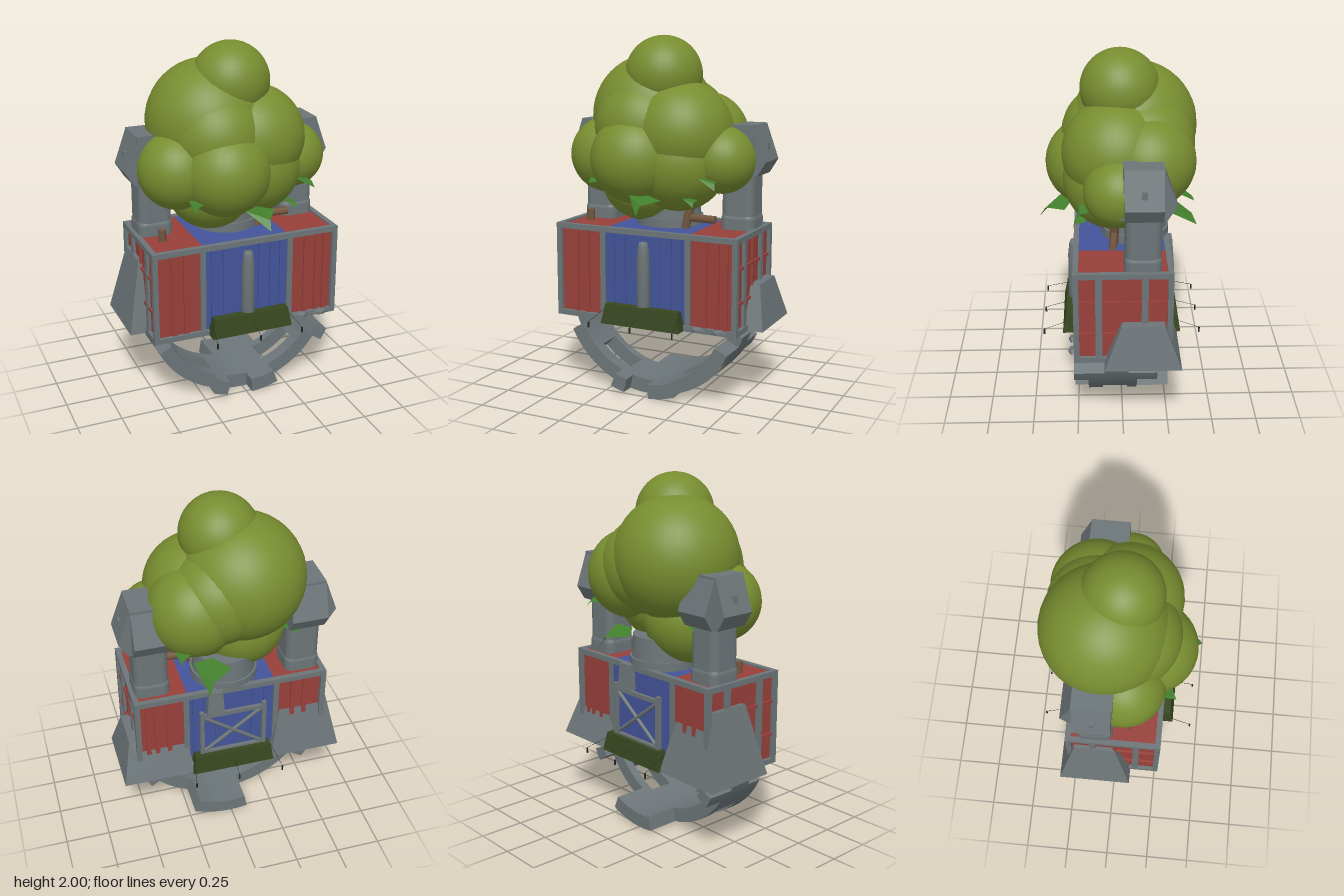
import * as THREE from 'three';
import { RoundedBoxGeometry } from 'three/addons/geometries/RoundedBoxGeometry.js';

const mat = (name, color, double) => {
  const m = new THREE.MeshStandardMaterial({ color });
  m.name = name;
  if (double) m.side = THREE.DoubleSide;
  return m;
};

export function createModel() {
  const M = {
    grey: mat('steelGrey', 0x6c7578),
    red: mat('containerRed', 0x98403a),
    blue: mat('containerBlue', 0x43549a),
    olive: mat('foliageOlive', 0x788d30),
    leaf: mat('leafGreen', 0x427f2c, true),
    hedge: mat('hedgeGreen', 0x37461f),
    brown: mat('barkBrown', 0x74583f),
    black: mat('wireBlack', 0x24272a),
  };
  const root = new THREE.Group();
  root.name = 'treeContainerHouse';
  const add = (name, geo, m, x = 0, y = 0, z = 0, parent = root) => {
    const mesh = new THREE.Mesh(geo, m);
    mesh.name = name;
    mesh.position.set(x, y, z);
    parent.add(mesh);
    return mesh;
  };
  // box given by its limits
  const box = (name, m, x0, x1, y0, y1, z0, z1) => add(name,
    new THREE.BoxGeometry(x1 - x0, y1 - y0, z1 - z0), m, (x0 + x1) / 2, (y0 + y1) / 2, (z0 + z1) / 2);
  // bar between two points
  const bar = (name, m, a, b, r, sides = 6) => {
    const p = new THREE.Vector3(...a), q = new THREE.Vector3(...b), d = q.clone().sub(p);
    const mesh = add(name, new THREE.CylinderGeometry(r, r, d.length(), sides), m);
    mesh.position.copy(p).add(q).multiplyScalar(0.5);
    mesh.quaternion.setFromUnitVectors(new THREE.Vector3(0, 1, 0), d.normalize());
    return mesh;
  };
  // box whose top is narrower than its bottom
  const frustum = (bx, bz, tx, tz, h) => {
    const g = new THREE.BoxGeometry(2, h, 2), p = g.attributes.position;
    for (let i = 0; i < p.count; i++) {
      const top = p.getY(i) > 0;
      p.setX(i, p.getX(i) * (top ? tx : bx));
      p.setZ(i, p.getZ(i) * (top ? tz : bz));
    }
    g.computeVertexNormals();
    return g;
  };

  // Container body: coloured walls inside a steel frame
  const X = 0.55, Z = 0.265, Y0 = 0.42, Y1 = 0.955, F = 0.03;
  const sections = [[-0.53, -0.25, M.red], [-0.25, 0.25, M.blue], [0.25, 0.53, M.red]];
  for (const [a, b, m] of sections) box('containerSection', m, a, b, 0.43, 0.945, -0.245, 0.245);
  for (const s of [-1, 1]) {
    for (const y of [Y0, Y1 - F]) {
      box('longFrameRail', M.grey, -X, X, y, y + F, s * Z - (s > 0 ? F : 0), s * Z + (s > 0 ? 0 : F));
      box('endFrameRail', M.grey, s * X - (s > 0 ? F : 0), s * X + (s > 0 ? 0 : F), y, y + F, -Z, Z);
    }
    for (const t of [-1, 1]) box('cornerPost', M.grey, s * (X - F / 2) - F / 2, s * (X - F / 2) + F / 2, Y0, Y1, t * (Z - F / 2) - F / 2, t * (Z - F / 2) + F / 2);
    // wall ribs and section posts
    const zc = s * 0.247;
    for (const x of [-0.43, -0.36, 0.36, 0.43, 0.48])
      box('redWallRib', M.red, x - 0.013, x + 0.013, 0.45, 0.925, zc - 0.008, zc + 0.008);
    for (const x of [-0.2, -0.13, 0.08, 0.15, 0.21])
      box('blueWallRib', M.blue, x - 0.013, x + 0.013, 0.45, 0.925, zc - 0.008, zc + 0.008);
    for (const x of [-0.26, 0.26])
      box('sectionPost', M.grey, x - 0.016, x + 0.016, 0.44, 0.94, zc - 0.008, zc + 0.008);
    // gridded end walls
    for (const z of [-0.115, 0.13])
      box('endWallPost', M.grey, s * 0.537 - 0.01, s * 0.537 + 0.01, 0.45, 0.93, z - 0.018, z + 0.018);
    box('endWallThinPost', M.red, s * 0.533 - 0.01, s * 0.533 + 0.01, 0.45, 0.93, 0, 0.014);
    for (const y of [0.59, 0.78])
      box('endWallRail', M.red, s * 0.533 - 0.01, s * 0.533 + 0.01, y - 0.008, y + 0.008, -0.235, 0.235);
    // underside panels
    box('floorPanel', M.red, s * 0.395 - 0.125, s * 0.395 + 0.125, 0.416, 0.424, -0.225, 0.225);
    box('floorBeam', M.grey, s * 0.395 - 0.012, s * 0.395 + 0.012, 0.413, 0.424, -0.225, 0.225);
  }
  box('floorPlate', M.grey, -0.25, 0.25, 0.417, 0.432, -0.24, 0.24);
  const ring = add('rootRing', new THREE.TorusGeometry(0.055, 0.014, 8, 20), M.brown, 0, 0.418, 0);
  ring.rotation.x = Math.PI / 2;

  // Corner towers: flared foot, square pipe and hooded vent
  const hood = new THREE.Shape([[0, 1.25], [0.12, 1.25], [0.17, 1.33], [0.1, 1.525], [0, 1.525]]
    .map(([x, y]) => new THREE.Vector2(x, y)));
  const hoodGeo = new THREE.ExtrudeGeometry(hood, { depth: 0.2, bevelEnabled: false });
  hoodGeo.translate(0, 0, -0.1);
  for (const s of [-1, 1]) {
    const tower = new THREE.Group();
    tower.name = s > 0 ? 'leftTower' : 'rightTower';
    tower.position.set(s * 0.43, 0, -0.105);
    root.add(tower);
    const h = s > 0 ? 0.24 : 0.4;
    add('flaredFoot', frustum(0.207, 0.207, s > 0 ? 0.155 : 0.12, 0.115, h), M.grey, 0, 0.42 + h / 2, 0, tower);
    add('pipe', new RoundedBoxGeometry(0.188, 0.42, 0.188, 5, 0.045), M.grey, 0, 1.1, 0, tower);
    add('pipeCollar', new RoundedBoxGeometry(0.198, 0.2, 0.198, 5, 0.045), M.grey, 0, 0.945, 0, tower);
    add('ventBlock', new THREE.BoxGeometry(0.2, 0.275, 0.21), M.grey, 0, 1.3875, 0, tower);
    add('sideHood', hoodGeo, M.grey, 0, 0, 0, tower).rotation.y = s > 0 ? 0 : Math.PI;
    add('backHood', hoodGeo, M.grey, 0, 0, 0, tower).rotation.y = Math.PI / 2;
    add('frontLip', frustum(0.1, 0.02, 0.1, 0.004, 0.15), M.grey, 0, 1.33, 0.105, tower);
    add('sideKnob', new THREE.BoxGeometry(0.03, 0.05, 0.03), M.grey, s * 0.135, 1.4, 0, tower);
  }

  // Central tank holding the tree
  add('treeTank', new THREE.CylinderGeometry(0.17, 0.18, 0.2, 40), M.grey, 0, 1.02, -0.08);
  add('tankCollar', new THREE.CylinderGeometry(0.188, 0.188, 0.05, 40), M.grey, 0, 0.97, -0.08);
  add('backSpout', frustum(0.05, 0.03, 0.04, 0.018, 0.15), M.grey, 0.1, 0.88, -0.265);

  // Trunk and branches
  const trunk = new THREE.CatmullRomCurve3([[0.15, 0.94, 0.04], [0.17, 1.03, 0.04], [0.19, 1.12, 0.03], [0.14, 1.26, 0]]
    .map((p) => new THREE.Vector3(...p)));
  add('trunk', new THREE.TubeGeometry(trunk, 10, 0.026, 8), M.brown);
  bar('branch', M.brown, [0.17, 1.005, 0.04], [0.335, 1.005, 0.05], 0.022);
  bar('stump', M.brown, [-0.43, 0.95, 0.08], [-0.43, 1.015, 0.08], 0.022);

  // Rounded crown
  const blobs = [
    [0, 1.785, 0.005, 0.215], [-0.1, 1.555, -0.075, 0.345], [0.18, 1.44, -0.145, 0.252],
    [0.12, 1.47, 0.03, 0.29], [-0.1, 1.5, 0.05, 0.275], [0.05, 1.5, -0.13, 0.27],
    [-0.095, 1.335, 0.17, 0.247], [-0.325, 1.335, 0.045, 0.217], [0.36, 1.335, 0.02, 0.185],
    [-0.12, 1.215, 0, 0.25], [0.11, 1.315, 0.04, 0.275],
  ];
  for (const [x, y, z, r] of blobs) add('crownBlob', new THREE.SphereGeometry(r, 36, 24), M.olive, x, y, z);

  // Folded loose leaves hanging from the crown
  const leafGeo = new THREE.BufferGeometry();
  leafGeo.setAttribute('position', new THREE.Float32BufferAttribute([
    0, 0.02, 0, -0.6, 0.05, 0.3, 0, -0.2, 1, 0, 0.02, 0, 0, -0.2, 1, 0.6, -0.1, 0.4,
    0, -0.2, 1, -0.6, 0.05, 0.3, -0.1, -0.55, 1.2], 3));
  leafGeo.computeVertexNormals();
  for (const [x, y, z, a, s] of [
    [0.03, 1.15, 0.27, 0.2, 0.15], [-0.28, 1.22, 0.24, -0.4, 0.08], [0.32, 1.25, 0.16, 0.9, 0.1],
    [0.1, 1.15, -0.22, 2.9, 0.17], [-0.3, 1.27, -0.14, -2.2, 0.1], [0.28, 1.3, -0.3, 2.9, 0.07],
    [0.24, 1.14, 0.2, 0.8, 0.07]]) {
    const l = add('leaf', leafGeo, M.leaf, x, y, z);
    l.rotation.y = a;
    l.scale.setScalar(s);
  }

  // Planters with drooping lamp wires, front and back
  for (const s of [-1, 1]) {
    add('planterHedge', frustum(0.238, 0.045, 0.22, 0.025, 0.108), M.hedge, 0.005, 0.476, s * 0.288);
    for (const x of [-0.25, 0.005, 0.255]) {
      bar('lampWire', M.black, [x * 0.9, 0.5, s * 0.28], [x, 0.455, s * 0.44], 0.0012, 4);
      bar('lampDrop', M.black, [x, 0.455, s * 0.437], [x, 0.425, s * 0.437], 0.005, 6);
    }
  }

  // Front pipe with a tapered cap
  add('frontPipe', new THREE.LatheGeometry([[0, 0.5], [0.036, 0.5], [0.036, 0.8], [0.028, 0.87], [0.022, 0.89], [0, 0.89]]
    .map((p) => new THREE.Vector2(...p)), 20), M.grey, 0, 0, 0.265);
  for (const x of [0.33, 0.45])
    add('frontRubble', new THREE.DodecahedronGeometry(0.035), M.grey, x, 0.438, 0.265).scale.set(1.3, 0.5, 1);

  // Braced gate on the back
  const gz = -0.28;
  for (const x of [-0.18, 0.18]) box('gatePost', M.grey, x - 0.012, x + 0.012, 0.5, 0.83, gz - 0.012, gz + 0.012);
  for (const y of [0.53, 0.8]) box('gateRail', M.grey, -0.18, 0.18, y - 0.012, y + 0.012, gz - 0.01, gz + 0.01);
  bar('gateBrace', M.grey, [-0.17, 0.54, gz], [0.17, 0.79, gz], 0.011);
  bar('gateBrace', M.grey, [0.17, 0.54, gz], [-0.17, 0.79, gz], 0.011);

  // Curved cradle below; angles in degrees from the lowest point
  const R = 0.5526, r = 0.472;
  const arc = (name, a0, a1, z0, z1) => {
    const t0 = (a0 - 90) * Math.PI / 180, t1 = (a1 - 90) * Math.PI / 180;
    const shape = new THREE.Shape();
    shape.absarc(0, 0, R, t0, t1, false);
    shape.absarc(0, 0, r, t1, t0, true);
    add(name, new THREE.ExtrudeGeometry(shape, {
      depth: z1 - z0, bevelEnabled: false, curveSegments: Math.ceil((a1 - a0) / 15),
    }), M.grey, 0, R, z0);
  };
  const arcPair = (name, a0, a1, z0, z1) => {
    arc(name, a0, a1, z0, z1);
    arc(name, -a1, -a0, z0, z1);
  };
  arc('cradleBottom', -20, 20, -0.08, 0.19);
  arc('cradleFrontTab', 3, 20, 0.19, 0.27);
  arc('cradleFrontTab', -22, -13, 0.19, 0.27);
  arc('cradleBackTab', -10, 24, -0.27, -0.08);
  arcPair('cradleFrontRail', 20, 46, 0.11, 0.19);
  arcPair('cradleBackRail', 20, 46, -0.08, -0.03);
  arcPair('cradlePlate', 46, 57, -0.08, 0.19);
  arc('cradleLeftCrossbar', 57, 64.6, -0.19, 0.27);
  arc('cradleRightCrossbar', -64.6, -57, -0.19, 0.19);
  arcPair('cradleEnd', 64.6, 71, -0.03, 0.1);

  return root;
}
